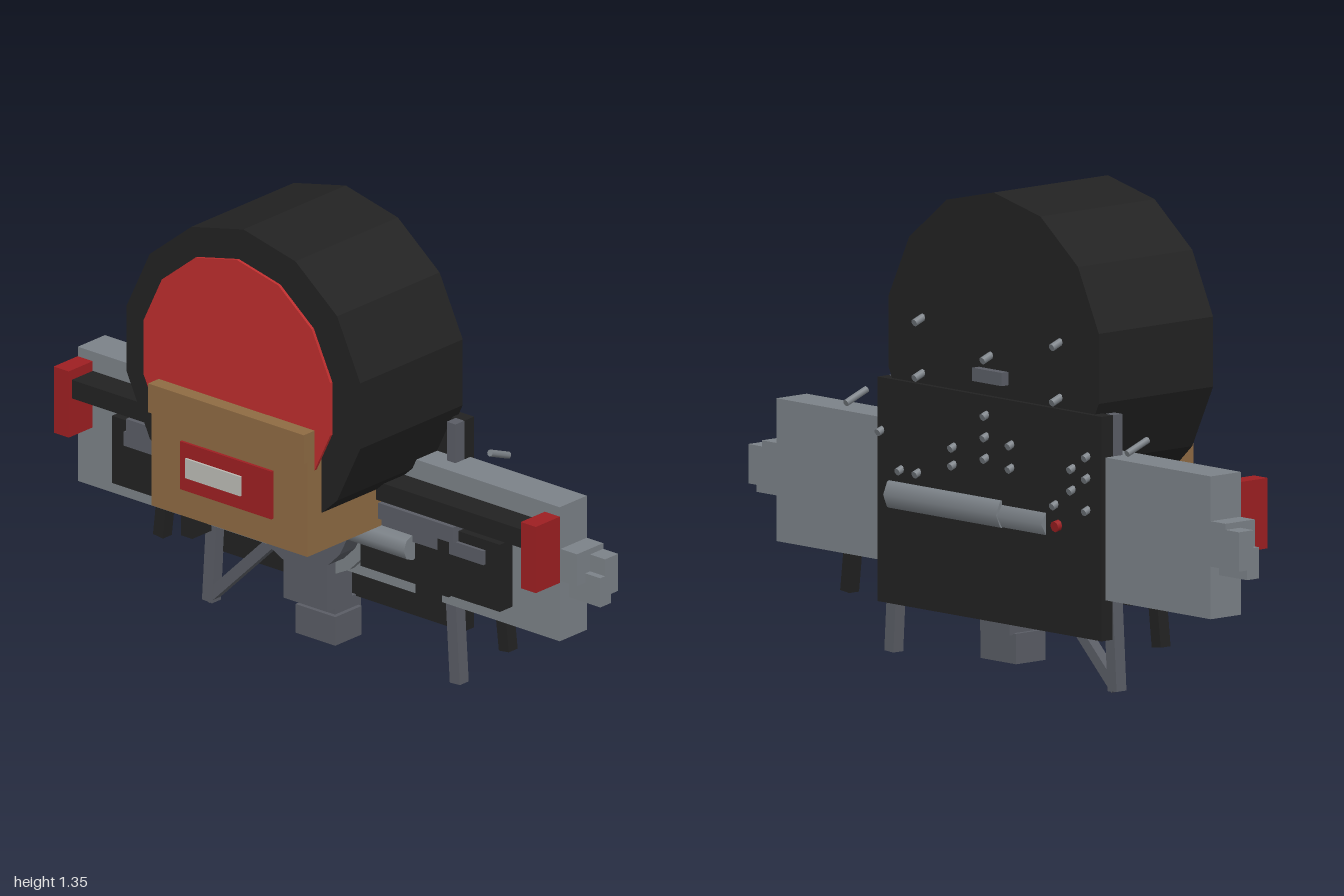
import * as THREE from 'three';

const mat = (name, color) => {
  const m = new THREE.MeshStandardMaterial({ color });
  m.name = name;
  return m;
};

export function createModel() {
  const black = mat('black', 0x222222);
  const grey = mat('grey', 0x7c8288);
  const darkGrey = mat('dark grey', 0x5a5d65);
  const red = mat('bright red', 0xbe2e2e);
  const deepRed = mat('deep red', 0x9e1f22);
  const tan = mat('tan', 0x8f6b43);
  const pale = mat('pale label', 0xbdbdb6);

  const root = new THREE.Group();
  root.name = 'drumMachine';

  const add = (name, geometry, material) => {
    const m = new THREE.Mesh(geometry, material);
    m.name = name;
    root.add(m);
    return m;
  };
  // Box given by its limits on each axis
  const box = (name, material, x0, x1, y0, y1, z0, z1) => {
    const m = add(name, new THREE.BoxGeometry(x1 - x0, y1 - y0, z1 - z0), material);
    m.position.set((x0 + x1) / 2, (y0 + y1) / 2, (z0 + z1) / 2);
    return m;
  };
  // The same box on both sides
  const pair = (name, material, x0, x1, ...rest) => {
    box(name + 'Left', material, x0, x1, ...rest);
    box(name + 'Right', material, -x1, -x0, ...rest);
  };
  // Straight bar between two points, square or round
  const bar = (name, material, a, b, w, sides = 0) => {
    const p = new THREE.Vector3(...a), q = new THREE.Vector3(...b);
    const d = q.clone().sub(p), len = d.length();
    const g = sides ? new THREE.CylinderGeometry(w / 2, w / 2, len, sides) : new THREE.BoxGeometry(w, len, w);
    const m = add(name, g, material);
    m.position.copy(p).add(q).multiplyScalar(0.5);
    m.quaternion.setFromUnitVectors(new THREE.Vector3(0, 1, 0), d.normalize());
    return m;
  };
  // Flat-sided disc facing the front, with a corner at the top
  const polygonPoints = (r, cy, first, last, sides) => {
    const pts = [];
    for (let i = first; i <= last; i++) {
      const a = (i / sides) * Math.PI * 2;
      pts.push(new THREE.Vector2(Math.sin(a) * r, cy + Math.cos(a) * r));
    }
    return pts;
  };
  const plate = (name, material, pts, z0, z1) => {
    const g = new THREE.ExtrudeGeometry(new THREE.Shape(pts), { depth: z1 - z0, bevelEnabled: false });
    return add(name, g.translate(0, 0, z0), material);
  };

  // Drum with a flat underside, and its red front
  const drum = polygonPoints(0.44, 0.916, -5, 5, 14);
  drum.push(new THREE.Vector2(0.29, 0.592), new THREE.Vector2(-0.29, 0.592));
  plate('drum', black, drum, -0.235, 0.192);
  plate('drumFrontHub', black, polygonPoints(0.265, 0.92, 0, 13, 14), 0.19, 0.211);
  plate('drumFace', red, polygonPoints(0.352, 0.922, 0, 13, 14), 0.211, 0.22);

  // Front case with lid and label
  box('case', tan, -0.286, 0.286, 0.476, 0.76, -0.23, 0.25);
  box('caseLid', tan, -0.286, 0.286, 0.757, 0.843, 0.194, 0.265);
  box('labelPlate', deepRed, -0.168, 0.168, 0.561, 0.703, 0.257, 0.266);
  box('label', pale, -0.144, 0.059, 0.602, 0.66, 0.264, 0.272);

  // Wide body, rail and end pieces
  box('body', grey, -0.885, 0.885, 0.273, 0.672, -0.235, -0.122);
  box('rail', black, -0.835, 0.835, 0.56, 0.615, -0.125, -0.035);
  pair('railEnd', deepRed, 0.83, 0.885, 0.447, 0.644, -0.122, -0.022);
  pair('endBlock', grey, 0.88, 0.945, 0.452, 0.547, -0.235, -0.125);
  pair('endTip', grey, 0.88, 1.0, 0.42, 0.53, -0.235, -0.18);
  pair('endTipLower', grey, 0.88, 1.0, 0.393, 0.48, -0.205, -0.16);

  // Mechanism in front of the body
  pair('frontPanel', black, 0.2, 0.712, 0.33, 0.53, -0.122, -0.068);
  pair('post', black, 0.41, 0.452, 0.247, 0.5, -0.14, -0.06);
  pair('innerPost', black, 0.495, 0.535, 0.33, 0.5, -0.12, -0.055);
  box('slideRight', darkGrey, -0.64, -0.2, 0.5, 0.547, -0.11, -0.045);
  box('slideLeft', darkGrey, 0.2, 0.56, 0.5, 0.547, -0.11, -0.045);
  pair('lowerSlide', darkGrey, 0.18, 0.66, 0.458, 0.5, -0.12, -0.058);
  bar('pushRod', grey, [0.18, 0.44, -0.06], [0.4, 0.44, -0.06], 0.075, 8);
  const flap = box('redFlap', deepRed, -0.305, -0.2, 0.37, 0.56, -0.1, -0.03);
  flap.rotation.z = 0.08;

  // Round basin and the blocks beneath it
  const halfDisc = (r, cy) => polygonPoints(r, cy, 5, 15, 20);
  plate('basin', darkGrey, halfDisc(0.19, 0.472), -0.11, -0.035);
  plate('basinBack', grey, halfDisc(0.225, 0.472), -0.17, -0.1);
  box('neck', darkGrey, -0.08, 0.08, 0.16, 0.3, -0.17, -0.066);
  box('neckCollar', darkGrey, -0.06, 0.06, 0.125, 0.165, -0.23, -0.122);
  box('bottomBlock', darkGrey, -0.073, 0.073, 0.045, 0.13, -0.218, -0.108);

  // Back plate with side posts
  box('backPlate', black, -0.457, 0.457, 0.16, 0.787, -0.25, -0.208);
  pair('sidePost', darkGrey, 0.425, 0.457, 0.3, 0.787, -0.21, -0.173);

  // Legs, brace and outer feet
  for (const s of [1, -1]) {
    bar('leg', darkGrey, [s * 0.43, 0.42, -0.191], [s * 0.455, 0.015, -0.191], 0.037);
    bar('outerFoot', black, [s * 0.62, 0.29, -0.191], [s * 0.635, 0.16, -0.191], 0.037);
    bar('handle', grey, [s * 0.573, 0.73, -0.185], [s * 0.573, 0.7, -0.262], 0.02, 8);
  }
  bar('brace', darkGrey, [-0.2, 0.275, -0.191], [-0.46, 0.022, -0.191], 0.032);

  // Long barrel across the back
  bar('barrel', grey, [0.41, 0.465, -0.222], [-0.05, 0.465, -0.222], 0.1, 8);
  bar('barrelEnd', grey, [-0.04, 0.46, -0.222], [-0.23, 0.46, -0.222], 0.092, 6);

  // Studs on the back: x, y
  const studs = [
    [0.29, 0.965], [-0.27, 0.965], [0.013, 0.893], [0.29, 0.81], [-0.27, 0.81],
    [0.013, 0.735], [0.013, 0.675], [0.013, 0.615], [-0.09, 0.665], [-0.09, 0.6],
    [0.145, 0.63], [0.145, 0.58], [0.44, 0.64], [0.36, 0.54], [0.29, 0.54],
    [-0.4, 0.67], [-0.4, 0.61], [-0.4, 0.52], [-0.34, 0.63], [-0.34, 0.57], [-0.27, 0.52],
  ];
  for (const [x, y] of studs) bar('stud', grey, [x, y + 0.008, -0.23], [x, y - 0.006, -0.266], 0.022, 8);
  bar('redStud', deepRed, [-0.28, 0.465, -0.235], [-0.28, 0.46, -0.265], 0.032, 8);
  box('backLatch', darkGrey, -0.06, 0.06, 0.825, 0.862, -0.26, -0.23);

  return root;
}
